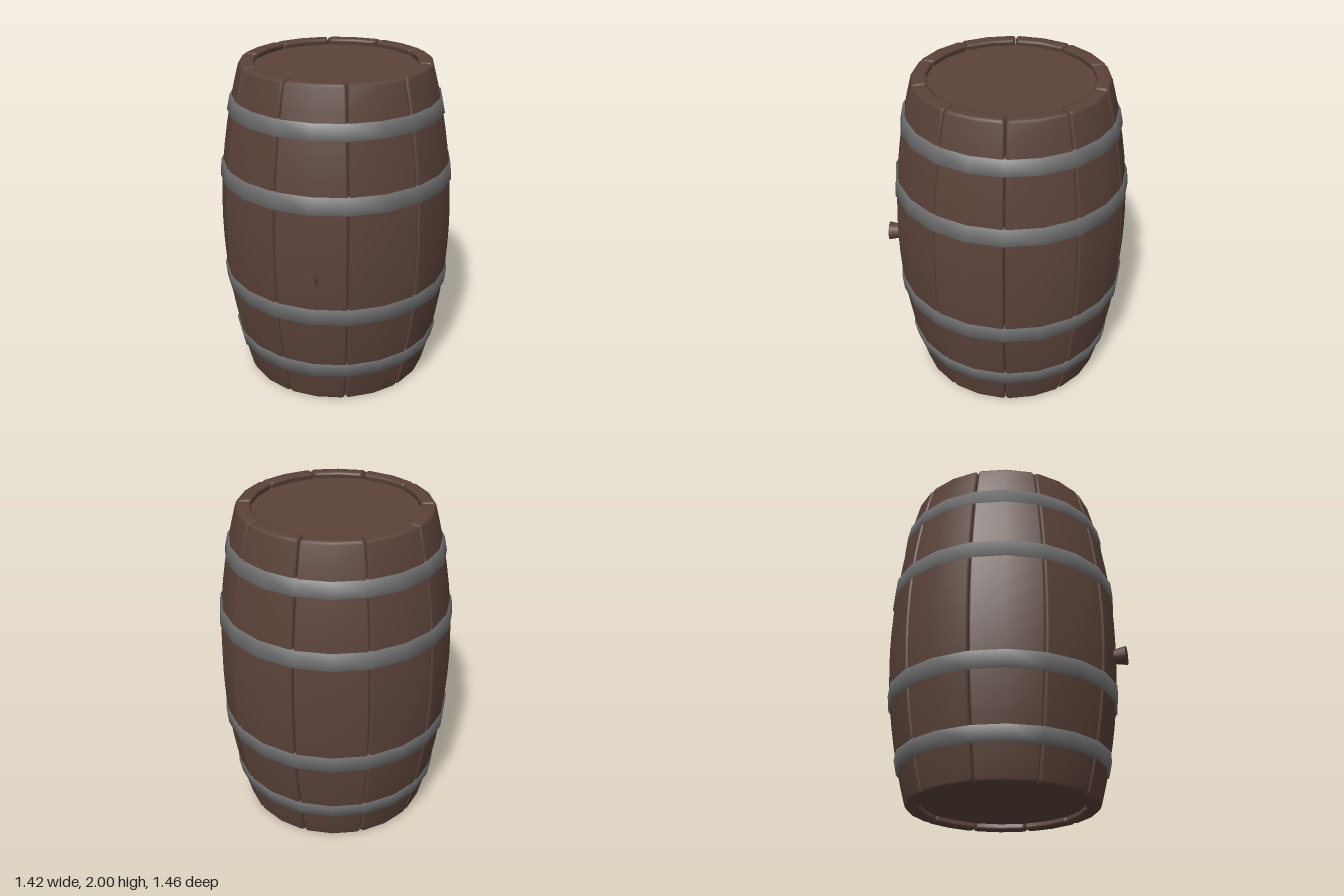
import * as THREE from 'three';

const STAVES = 10;
const HALF = Math.PI / STAVES;          // half the angle of one stave
const THICK = 0.09;

// outer radius of the bulging barrel at height y
const radiusAt = (y) => 0.57 + 0.14 * (1 - (y - 1) ** 2);

// rounded cross-section of a stave, counter-clockwise from above: [side, inset from side, radius]
function section(y, inset) {
  const ro = radiusAt(y) - inset, ri = radiusAt(y) - THICK + inset;
  const b = 0.016, g = 0.002 + inset;
  const corner = [[g, b], [g + 0.3 * b, 0.3 * b], [g + b, 0]];
  const pts = [];
  for (const [s, d] of corner) pts.push([-1, s, ro - d]);
  pts.push([0, 0, ro]);
  for (const [s, d] of [...corner].reverse()) pts.push([1, s, ro - d]);
  for (const [s, d] of corner) pts.push([1, s, ri + d]);
  pts.push([0, 0, ri]);
  for (const [s, d] of [...corner].reverse()) pts.push([-1, s, ri + d]);
  return pts.map(([side, s, r]) => {
    const a = side * (HALF - s / r);
    return [r * Math.sin(a), y, r * Math.cos(a)];
  });
}

// one plank: sections stacked upwards, with rounded ends
function staveGeometry() {
  const levels = [[0, 0.016], [0.005, 0.005], [0.016, 0]];
  for (let i = 1; i < 16; i++) levels.push([i / 8, 0]);
  levels.push([1.984, 0], [1.995, 0.005], [2, 0.016]);
  const rings = levels.map(([y, inset]) => section(y, inset));
  const n = rings[0].length, last = rings.length - 1;
  const positions = rings.flat(2), index = [];
  for (let j = 0; j < last; j++) {
    for (let i = 0; i < n; i++) {
      const k = (i + 1) % n;
      const a = j * n + i, b = j * n + k, c = b + n, d = a + n;
      index.push(a, b, c, a, c, d);
    }
  }
  // end caps
  const bottom = rings.length * n, top = bottom + 1;
  const mid = radiusAt(0) - THICK / 2;
  positions.push(0, 0, mid, 0, 2, mid);
  for (let i = 0; i < n; i++) {
    const k = (i + 1) % n;
    index.push(bottom, k, i, top, last * n + i, last * n + k);
  }
  const geo = new THREE.BufferGeometry();
  geo.setAttribute('position', new THREE.Float32BufferAttribute(positions, 3));
  geo.setIndex(index);
  geo.computeVertexNormals();
  return geo;
}

// closed metal band, following the slope of the barrel
function hoopGeometry(y0, y1) {
  const r0 = radiusAt(y0) + 0.012, r1 = radiusAt(y1) + 0.012;
  const profile = [
    [r0 - 0.04, y0], [r0, y0], [r1, y1], [r1 - 0.04, y1],
  ].map(([r, y]) => new THREE.Vector2(r, y));
  return new THREE.LatheGeometry(profile, STAVES * 2);
}

export function createModel() {
  const wood = new THREE.MeshStandardMaterial({ color: 0x5a4239 });
  wood.name = 'brown wood';
  const metal = new THREE.MeshStandardMaterial({ color: 0x6e6e6e });
  metal.name = 'grey metal';

  const model = new THREE.Group();
  model.name = 'barrel';
  const body = new THREE.Group();
  body.name = 'body';
  body.position.z = -0.025;
  model.add(body);

  const add = (name, geometry, material) => {
    const mesh = new THREE.Mesh(geometry, material);
    mesh.name = name;
    body.add(mesh);
    return mesh;
  };

  // staves, with a seam at the middle of the front
  const stave = staveGeometry();
  for (let i = 0; i < STAVES; i++) {
    add('stave', stave, wood).rotation.y = (2 * i + 1) * HALF;
  }

  // hoops
  for (const [y0, y1] of [[0.2, 0.29], [0.6, 0.7], [1.3, 1.4], [1.71, 1.8]]) {
    add('hoop', hoopGeometry(y0, y1), metal);
  }

  // sunken heads at both ends
  for (const y of [0.055, 1.945]) {
    add('head', new THREE.CylinderGeometry(0.51, 0.51, 0.04, 20), wood).position.y = y;
  }

  // tapered plug in the front stave on the model's right
  const plug = add('plug', new THREE.CylinderGeometry(0.058, 0.034, 0.13, 16), wood);
  const r = 0.71;
  plug.position.set(-r * Math.sin(HALF), 0.89, r * Math.cos(HALF));
  plug.rotation.set(Math.PI / 2, 0, HALF);

  return model;
}
